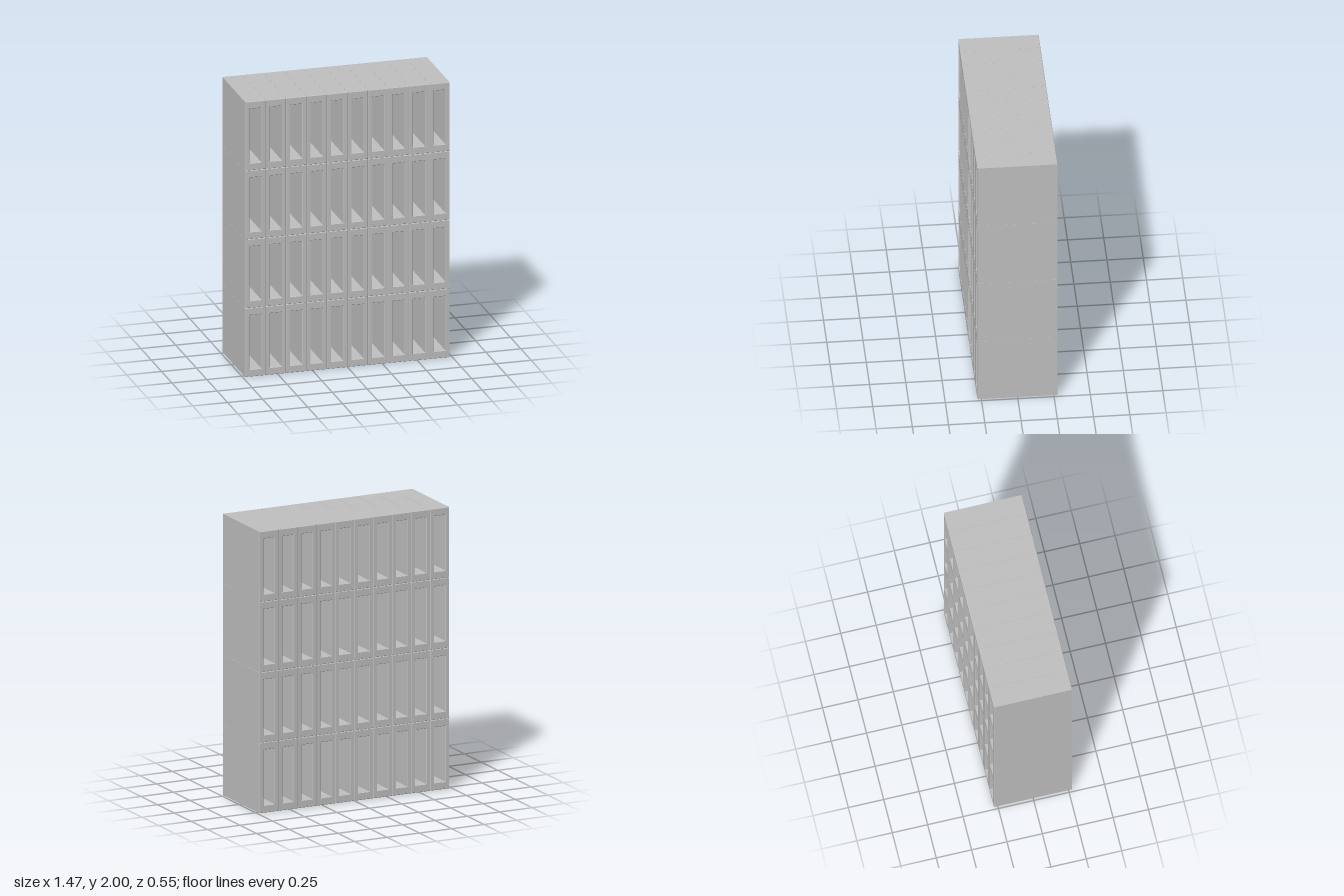
import * as THREE from 'three';

const COLS = 10, ROWS = 4;
const PITCH_X = 0.1466, PITCH_Y = 0.5, DEPTH = 0.554;
const GAP = 0.001, BEVEL = 0.003;

// Corner points of a rectangle centred on the origin
function rectPoints(w, h) {
  return [[-w, -h], [w, -h], [w, h], [-w, h]].map(([x, y]) => new THREE.Vector2(x / 2, y / 2));
}

// Hollow block, open front to back, with finely chamfered rims
function hollowBlockGeometry() {
  const outline = new THREE.Shape(rectPoints(PITCH_X - GAP, PITCH_Y - GAP));
  outline.holes.push(new THREE.Path(rectPoints(0.086, 0.396).reverse()));
  const geometry = new THREE.ExtrudeGeometry(outline, {
    depth: DEPTH - 2 * BEVEL,
    bevelEnabled: true,
    bevelSegments: 1,
    bevelSize: BEVEL,
    bevelThickness: BEVEL,
    bevelOffset: -BEVEL,
  });
  return geometry.translate(0, 0, -DEPTH / 2 + BEVEL);
}

export function createModel() {
  const model = new THREE.Group();
  model.name = 'hollowBlockWall';
  const concrete = new THREE.MeshStandardMaterial({ color: 0xc0c0c0 });
  concrete.name = 'concrete grey';
  const geometry = hollowBlockGeometry();

  // Stack the blocks row by row
  for (let row = 0; row < ROWS; row++) {
    const course = new THREE.Group();
    course.name = `blockRow${row + 1}`;
    course.position.y = (row + 0.5) * PITCH_Y;
    for (let col = 0; col < COLS; col++) {
      const block = new THREE.Mesh(geometry, concrete);
      block.name = `hollowBlock${col + 1}`;
      block.position.x = (col - (COLS - 1) / 2) * PITCH_X;
      course.add(block);
    }
    model.add(course);
  }
  return model;
}
